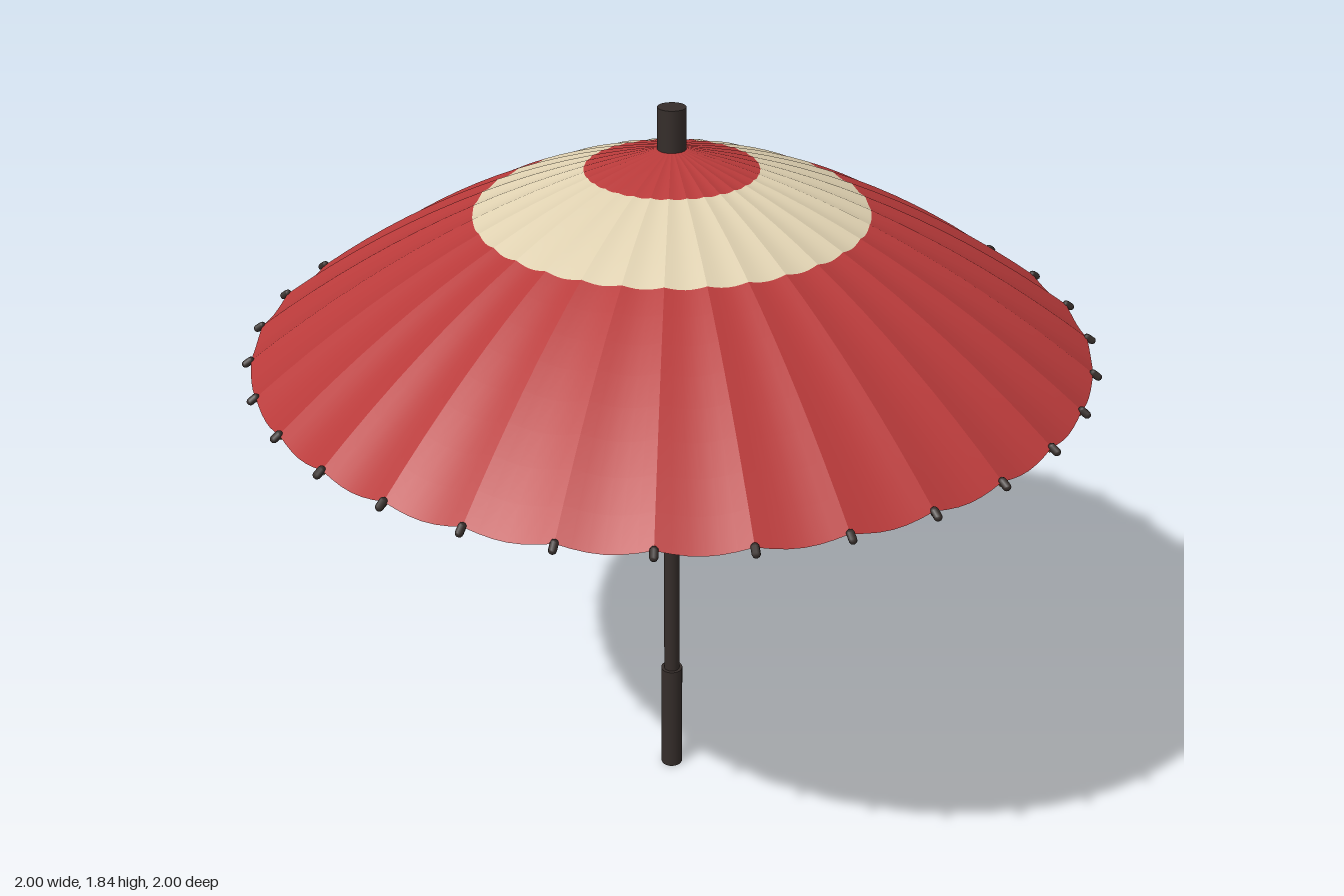
import * as THREE from 'three';
import { mergeGeometries } from 'three/addons/utils/BufferGeometryUtils.js';
import { ParametricGeometry } from 'three/addons/geometries/ParametricGeometry.js';

const RIBS = 32;
const STEP = (Math.PI * 2) / RIBS;
const EDGE = 0.98;

// Height of the canopy ridge lines at radius r
const ridge = (r) => 1.745 - 0.2 * r - 0.275 * r * r;

const material = (color, side = THREE.FrontSide) =>
  new THREE.MeshStandardMaterial({ color, side });

export function createModel() {
  const model = new THREE.Group();
  const red = material(0xb83a3a, THREE.DoubleSide);
  const cream = material(0xded0b0, THREE.DoubleSide);
  const dark = material(0x352d2a);
  const brown = material(0x6e4c30);
  const bamboo = material(0x8a6b3e);

  const add = (name, geometry, mat, parent = model) => {
    const mesh = new THREE.Mesh(geometry, mat);
    mesh.name = name;
    parent.add(mesh);
    return mesh;
  };

  // Upright cylinder between two heights
  const post = (name, radius, y0, y1, mat, sides = 20) => {
    const mesh = add(name, new THREE.CylinderGeometry(radius, radius, y1 - y0, sides), mat);
    mesh.position.y = (y0 + y1) / 2;
  };

  // Ring of canopy panels, each sagging a little between its two ribs
  const band = (name, r0, r1, rings, mat) => {
    const panels = [];
    for (let i = 0; i < RIBS; i++) {
      panels.push(new ParametricGeometry((u, v, target) => {
        const r = r0 + (r1 - r0) * u;
        const angle = (i + v) * STEP;
        const sag = 0.014 * r * Math.sin(Math.PI * v);
        target.set(r * Math.sin(angle), ridge(r) - sag, r * Math.cos(angle));
      }, rings, 6));
    }
    add(name, mergeGeometries(panels), mat);
  };
  band('canopyCentre', 0.02, 0.2, 4, red);
  band('canopyPaleRing', 0.2, 0.455, 4, cream);
  band('canopyOuter', 0.455, EDGE, 8, red);

  // Pole, grip, cap and the two hubs
  post('shaft', 0.02, 0.02, 1.76, dark);
  post('grip', 0.028, 0, 0.31, dark);
  post('cap', 0.033, 1.735, 1.835, dark);
  post('runner', 0.043, 0.925, 1.01, brown);
  post('upperHub', 0.042, 1.65, 1.715, brown);

  // Rib under each fold, strut from the runner to the rib, and rib tip
  const ribPoints = [];
  for (let i = 0; i <= 6; i++) {
    const r = 0.035 + (EDGE - 0.035) * (i / 6);
    ribPoints.push(new THREE.Vector3(0, ridge(r) - 0.009, r));
  }
  const ribGeometry = new THREE.TubeGeometry(new THREE.CatmullRomCurve3(ribPoints), 12, 0.005, 6);
  const strutGeometry = new THREE.TubeGeometry(
    new THREE.LineCurve3(new THREE.Vector3(0, 1.0, 0.035), new THREE.Vector3(0, ridge(0.62) - 0.012, 0.62)),
    1, 0.0045, 6);
  const tipGeometry = new THREE.CapsuleGeometry(0.009, 0.014, 4, 8);
  tipGeometry.rotateX(Math.PI / 2 + 0.6);
  tipGeometry.translate(0, ridge(EDGE) - 0.003, 0.986);

  for (let i = 0; i < RIBS; i++) {
    const spoke = new THREE.Group();
    spoke.name = 'spoke';
    spoke.rotation.y = i * STEP;
    add('rib', ribGeometry, bamboo, spoke);
    add('strut', strutGeometry, bamboo, spoke);
    add('ribTip', tipGeometry, dark, spoke);
    model.add(spoke);
  }
  return model;
}
